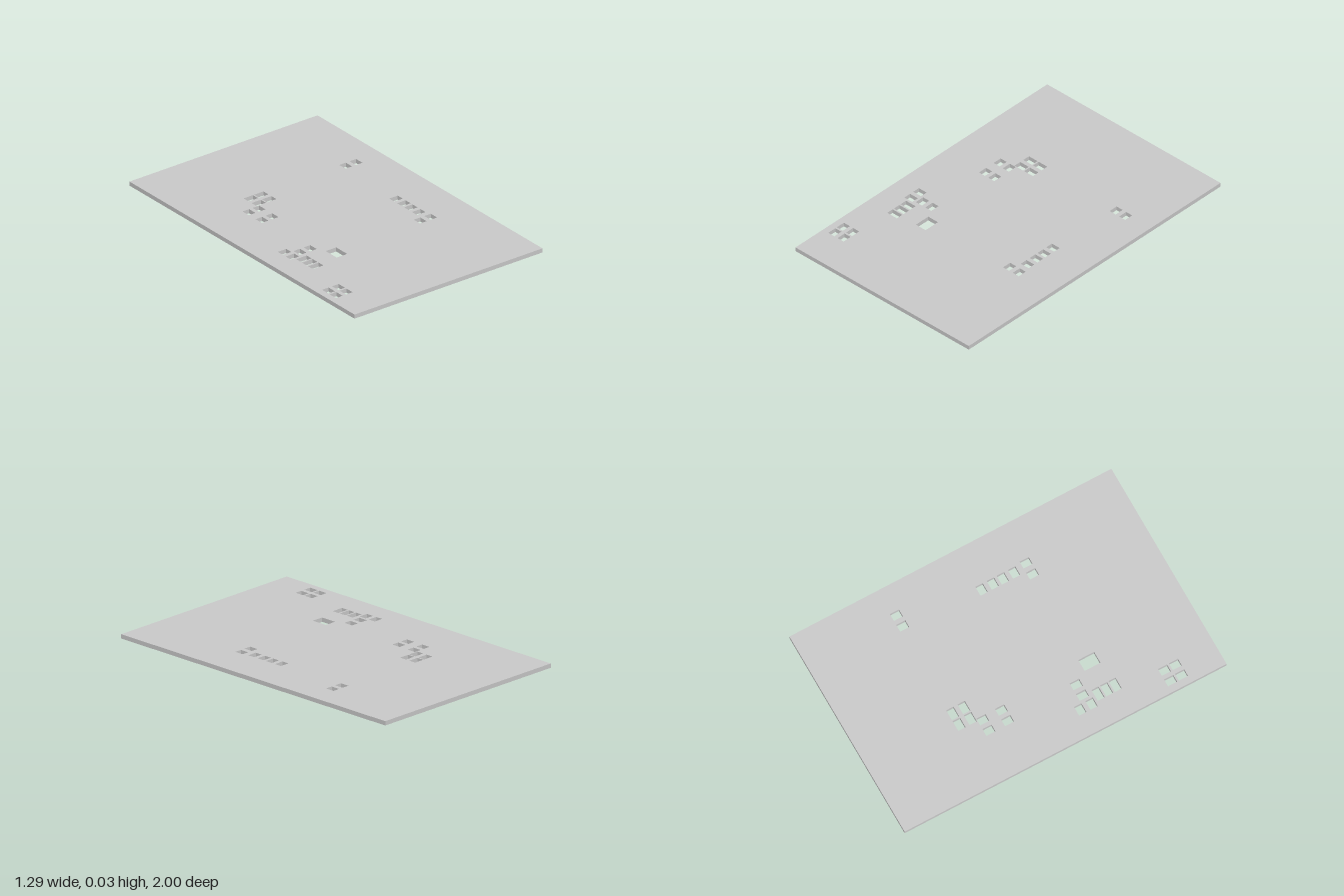
import * as THREE from 'three';

const WIDTH = 1.29, LENGTH = 2, THICKNESS = 0.025;

// Rectangular outline centred on (x, z); shape y runs towards -z
function rectangle(target, x, z, w, d) {
  target.moveTo(x - w / 2, -z - d / 2);
  target.lineTo(x + w / 2, -z - d / 2);
  target.lineTo(x + w / 2, -z + d / 2);
  target.lineTo(x - w / 2, -z + d / 2);
  target.closePath();
  return target;
}

// Groups of apertures: every x is combined with every z
const apertures = [
  { size: [0.064, 0.045], xs: [-0.245, -0.173], zs: [-0.44, -0.37] },
  { size: [0.045, 0.056], xs: [-0.354, -0.285], zs: [-0.315, -0.199] },
  { size: [0.045, 0.056], xs: [0.4, 0.471], zs: [-0.432] },
  { size: [0.058, 0.045], xs: [0.377], zs: [0.045, 0.115, 0.177, 0.247] },
  { size: [0.045, 0.056], xs: [0.322, 0.394], zs: [0.331] },
  { size: [0.058, 0.045], xs: [-0.49], zs: [0.177, 0.247] },
  { size: [0.045, 0.058], xs: [-0.423, -0.353], zs: [0.228] },
  { size: [0.072, 0.043], xs: [-0.457], zs: [0.306, 0.359, 0.412] },
  { size: [0.072, 0.098], xs: [-0.271], zs: [0.355] },
  { size: [0.045, 0.056], xs: [-0.582, -0.513], zs: [0.687, 0.755] },
];

export function createModel() {
  const group = new THREE.Group();
  group.name = 'stencil';

  // Flat plate pierced by the apertures
  const outline = rectangle(new THREE.Shape(), 0, 0, WIDTH, LENGTH);
  for (const { size: [w, d], xs, zs } of apertures)
    for (const x of xs)
      for (const z of zs)
        outline.holes.push(rectangle(new THREE.Path(), x, z, w, d));

  const geometry = new THREE.ExtrudeGeometry(outline, { depth: THICKNESS, bevelEnabled: false });
  geometry.rotateX(-Math.PI / 2);

  const plate = new THREE.Mesh(geometry, new THREE.MeshStandardMaterial({ color: 0xcccccc }));
  plate.name = 'perforatedPlate';
  group.add(plate);
  return group;
}
